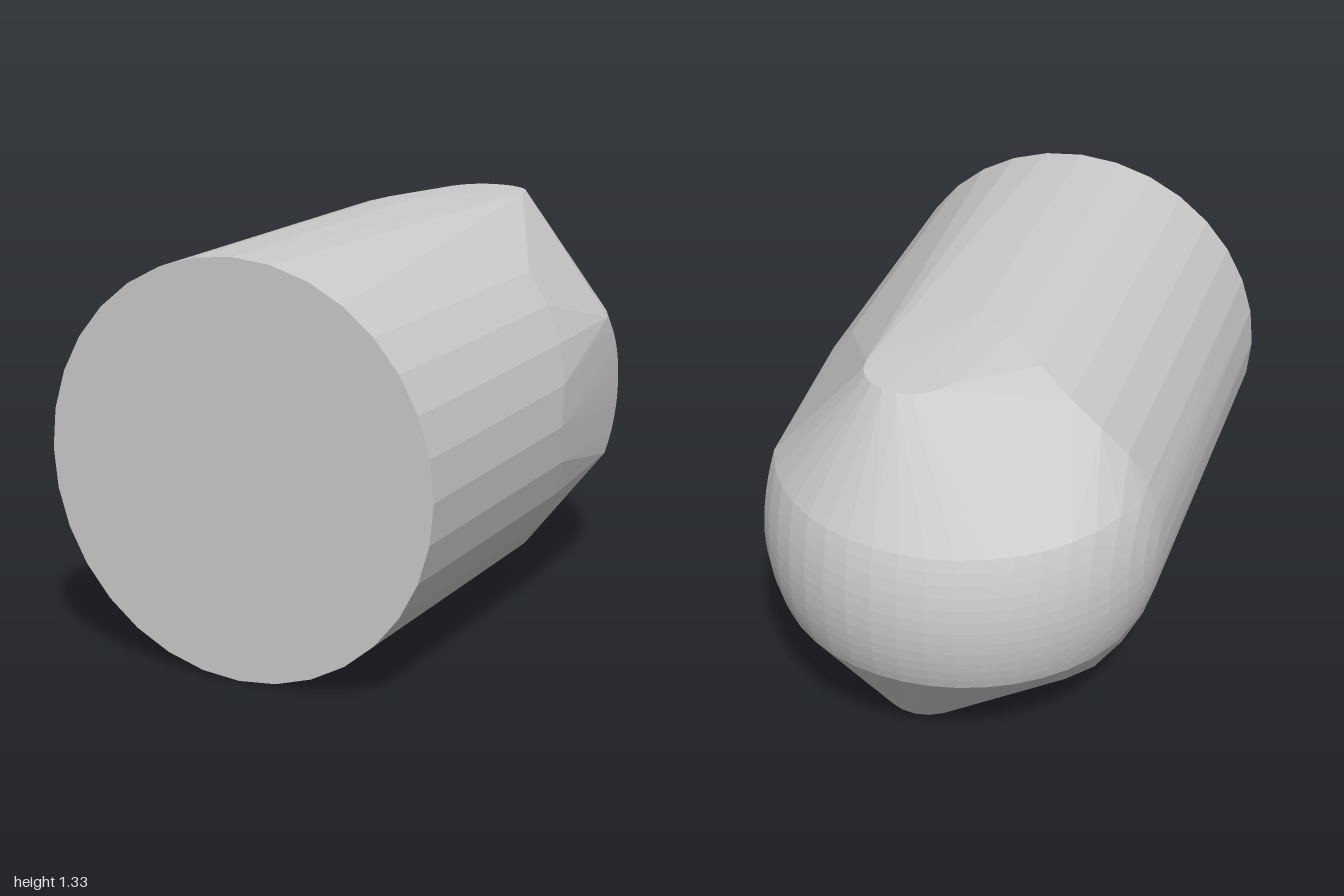
import * as THREE from 'three';
import { ConvexGeometry } from 'three/addons/geometries/ConvexGeometry.js';

const R = 0.665;        // barrel and dome radius, also the axis height
const DOME_Z = -0.335;  // dome centre
const BAND = 0.245;     // half height of the round band on the dome
const FLAT_X = 0.585;   // flat that trims the dome on the +x side

// Where the barrel ends, by angle from +x (degrees, z); same above and below the axis
const END = [[0, 0.05], [12, 0], [41, -0.1], [90, -0.2], [99, -0.25], [109, -0.33],
  [120, -0.42], [132, -0.44], [155, -0.38], [180, DOME_Z]];

function barrelEnd(deg) {
  const i = Math.max(1, END.findIndex(([a]) => a >= deg));
  const [a0, z0] = END[i - 1], [a1, z1] = END[i];
  return THREE.MathUtils.mapLinear(deg, a0, a1, z0, z1);
}

// Barrel: flat front disc and a curved rear limit
function barrelPoints() {
  const points = [], sides = 32;
  for (let i = 0; i < sides; i++) {
    const a = (i / sides) * Math.PI * 2;
    const x = R * Math.cos(a), y = R + R * Math.sin(a);
    const deg = 180 - Math.abs(180 - (i / sides) * 360);
    points.push(new THREE.Vector3(x, y, 1), new THREE.Vector3(x, y, barrelEnd(deg)));
  }
  return points;
}

// Round band of the dome: rings around the x axis, cut off above and below
function domePoints() {
  const points = [new THREE.Vector3(-R, R, DOME_Z)];
  const rings = 20, steps = 12, last = Math.acos(-FLAT_X / R);
  for (let i = 1; i <= rings; i++) {
    const t = (i / rings) * last;
    const x = -R * Math.cos(t), r = R * Math.sin(t);
    const limit = Math.asin(Math.min(1, BAND / r));
    for (let j = 0; j <= steps; j++) {
      const a = limit * (2 * j / steps - 1);
      points.push(new THREE.Vector3(x, R + r * Math.sin(a), DOME_Z - r * Math.cos(a)));
    }
  }
  return points;
}

// Small round shoulder that the cone-like faces fan out from
function shoulderPoints(x, y, z, r) {
  const points = [], steps = 20;
  for (let i = 0; i < steps; i++) {
    const a = (i / steps) * Math.PI * 2;
    points.push(new THREE.Vector3(x + r * Math.cos(a), y, z + r * Math.sin(a)));
  }
  return points;
}

export function createModel() {
  const group = new THREE.Group();
  group.name = 'domedBarrel';
  // One convex skin stretched over the barrel, dome band and both shoulders
  const skin = new ConvexGeometry([
    ...barrelPoints(),
    ...domePoints(),
    ...shoulderPoints(0.1, 1.315, -0.55, 0.15),
    ...shoulderPoints(0.08, 0.04, -0.515, 0.15),
  ]);
  const body = new THREE.Mesh(skin, new THREE.MeshStandardMaterial({ color: 0xcccccc, flatShading: true }));
  body.name = 'body';
  group.add(body);
  return group;
}
